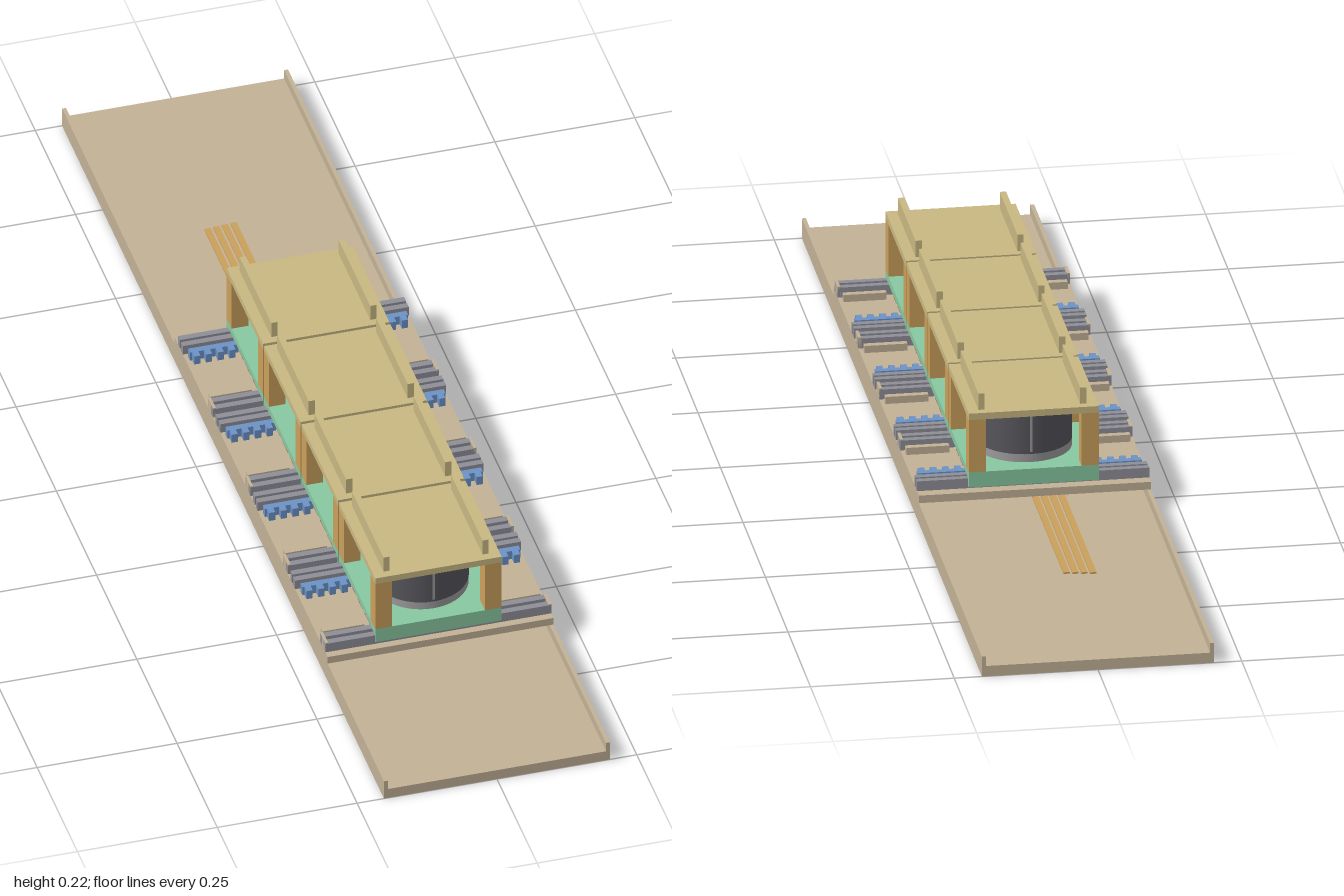
import * as THREE from 'three';

const mat = (name, color, side = THREE.FrontSide) => {
  const m = new THREE.MeshStandardMaterial({ color, side });
  m.name = name;
  return m;
};

export function createModel() {
  const tan = mat('tan tray', 0xc2b196);
  const khaki = mat('khaki plate', 0xc8b882);
  const orange = mat('orange post', 0xcaa05c);
  const green = mat('green base', 0x88c8a0);
  const grey = mat('grey rail', 0x8e8e98);
  const dark = mat('dark drum', 0x56565c);
  const silver = mat('silver ring', 0x9c9c9e);
  const blue = mat('blue comb', 0x6c92c6);
  const red = mat('red coupler', 0xb04a50);

  const root = new THREE.Group();
  root.name = 'modularTray';

  // Box given by its limits on each axis
  function box(parent, name, m, x0, x1, y0, y1, z0, z1) {
    const mesh = new THREE.Mesh(new THREE.BoxGeometry(x1 - x0, y1 - y0, z1 - z0), m);
    mesh.position.set((x0 + x1) / 2, (y0 + y1) / 2, (z0 + z1) / 2);
    mesh.name = name;
    parent.add(mesh);
    return mesh;
  }
  // Same box on both sides of x = 0
  function pair(parent, name, m, x0, x1, ...rest) {
    box(parent, name + 'Left', m, x0, x1, ...rest);
    box(parent, name + 'Right', m, -x1, -x0, ...rest);
  }
  function drum(parent, name, m, r, y0, y1) {
    const mesh = new THREE.Mesh(new THREE.CylinderGeometry(r, r, y1 - y0, 48), m);
    mesh.position.y = (y0 + y1) / 2;
    mesh.name = name;
    parent.add(mesh);
  }

  // Tray: floor, side walls and the hollow raised deck
  box(root, 'trayFloor', tan, -0.202, 0.202, 0, 0.019, -1, 1);
  pair(root, 'trayWall', tan, 0.195, 0.202, 0.019, 0.037, -1, 1);
  box(root, 'deck', tan, -0.202, 0.202, 0.037, 0.051, -0.3, 0.65);

  // Flat cables running out at the back, joined by a cross strip under the deck
  for (let i = 0; i < 4; i++) {
    const x = -0.057 + i * 0.0155;
    box(root, 'cable' + i, orange, x, x + 0.011, 0.02 + i * 0.001, 0.023 + i * 0.001, -0.62, -0.1 + i * 0.12);
  }
  box(root, 'crossCable', orange, -0.05, 0.107, 0.024, 0.027, -0.19, -0.17);
  for (let i = -1; i <= 1; i++)
    box(root, 'cablePin', dark, i * 0.006 - 0.002, i * 0.006 + 0.002, 0.026, 0.037, -0.18, -0.176);

  // Four identical modules in a row
  for (let i = 0; i < 4; i++) {
    const g = new THREE.Group();
    g.name = 'module' + (i + 1);
    g.position.z = 0.524 - i * 0.2325;
    root.add(g);

    // Base: raised slab with end feet, couplers between them
    box(g, 'baseSlab', green, -0.113, 0.113, 0.07, 0.083, -0.113, 0.113);
    for (const s of [-1, 1]) {
      const a = s < 0 ? -0.113 : 0.103;
      box(g, 'baseFoot', green, -0.113, 0.113, 0.055, 0.07, a, a + 0.01);
    }
    for (const z of [-0.045, 0, 0.045])
      box(g, 'coupler', red, -0.108, 0.108, 0.055, 0.07, z - 0.016, z + 0.016);

    // Drum on its ring, with small alignment notches
    drum(g, 'drumRing', silver, 0.083, 0.083, 0.098);
    drum(g, 'drum', dark, 0.0835, 0.098, 0.18);
    for (const s of [-1, 1])
      box(g, 'drumSeam', silver, -0.002, 0.002, 0.102, 0.176, s * 0.0825 - 0.0015, s * 0.0825 + 0.0015);

    // Corner posts
    for (const s of [-1, 1]) {
      const a = s < 0 ? -0.113 : 0.083;
      pair(g, 'post', orange, 0.083, 0.113, 0.083, 0.18, a, a + 0.03);
    }

    // Top plate with two upright ribs
    box(g, 'topPlate', khaki, -0.113, 0.113, 0.18, 0.192, -0.113, 0.113);
    pair(g, 'topRib', khaki, 0.083, 0.094, 0.192, 0.222, -0.098, 0.098);

    // Cross rails under the module
    for (const z of [-0.1, -0.082, 0.086, 0.106])
      box(g, 'rail', grey, -0.202, 0.202, 0.051, 0.069, z - 0.006, z + 0.006);
    pair(g, 'railStop', tan, 0.197, 0.202, 0.051, 0.071, 0.08, 0.112);
    pair(g, 'sideStrip', tan, 0.12, 0.195, 0.051, 0.064, 0.058, 0.07);

    // Toothed combs on both sides
    pair(g, 'combBack', blue, 0.108, 0.195, 0.051, 0.068, -0.068, -0.056);
    for (let t = 0; t < 4; t++) {
      const x = 0.117 + t * 0.021;
      pair(g, 'combTooth', blue, x, x + 0.011, 0.051, 0.068, -0.056, -0.043);
    }
  }
  return root;
}
